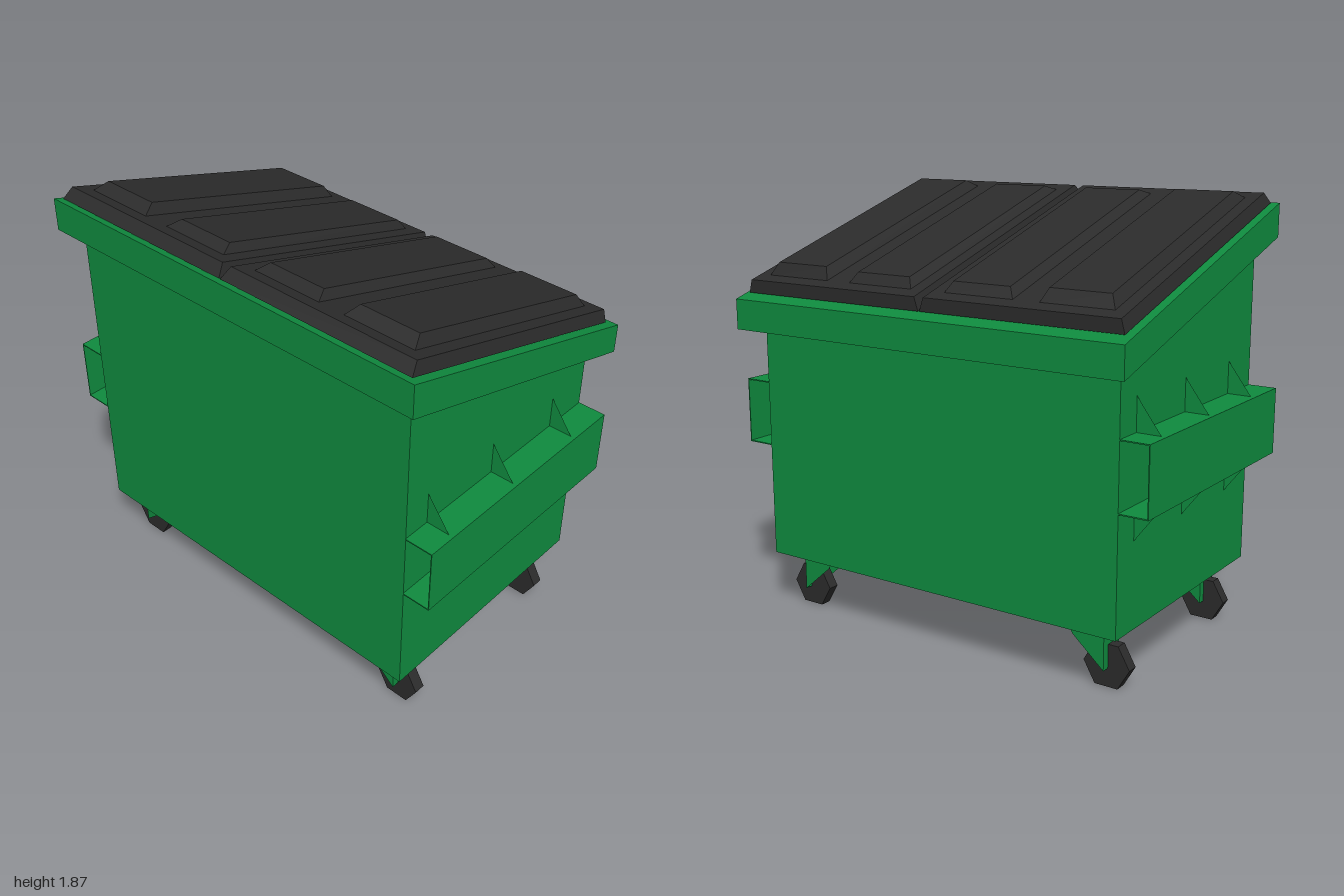
import * as THREE from 'three';

const green = new THREE.MeshStandardMaterial({ color: 0x0f8a3e, flatShading: true, side: THREE.DoubleSide });
const black = new THREE.MeshStandardMaterial({ color: 0x2b2b2b, flatShading: true });

const SLOPE = -0.309;
const rimTop = (x) => 1.6125 + SLOPE * x;

function add(parent, name, geometry, material) {
  const mesh = new THREE.Mesh(geometry, material);
  mesh.name = name;
  parent.add(mesh);
  return mesh;
}

const shapeOf = (points) => new THREE.Shape(points.map(([x, y]) => new THREE.Vector2(x, y)));

// Side profile in x/y pulled along z, centred on z = 0
function prism(points, halfDepth) {
  const g = new THREE.ExtrudeGeometry(shapeOf(points), { depth: halfDepth * 2, bevelEnabled: false });
  return g.translate(0, 0, -halfDepth);
}

// Thin plate drawn in z/y, standing at the given x
function sidePlate(points, x) {
  return new THREE.ShapeGeometry(shapeOf(points)).rotateY(-Math.PI / 2).translate(x, 0, 0);
}

// Bevelled slab following the roof slope; each rectangle is [x0, x1, z0, z1, height above rim]
function slopedSlab(bottom, top) {
  const g = new THREE.BoxGeometry(1, 1, 1);
  const p = g.attributes.position;
  for (let i = 0; i < p.count; i++) {
    const r = p.getY(i) > 0 ? top : bottom;
    const x = p.getX(i) < 0 ? r[0] : r[1];
    const z = p.getZ(i) < 0 ? r[2] : r[3];
    p.setXYZ(i, x, rimTop(x) + r[4], z);
  }
  g.computeVertexNormals();
  return g;
}

// One lid half with two raised panels; side is +1 or -1 along z
function createLid(side) {
  const lid = new THREE.Group();
  lid.name = side > 0 ? 'frontLid' : 'backLid';
  const span = (a, b) => (side > 0 ? [a, b] : [-b, -a]);
  add(lid, 'lidSlab', slopedSlab(
    [-0.63, 0.6, ...span(0.003, 0.915), 0.008],
    [-0.59, 0.6, ...span(0.022, 0.9), 0.064]), black);
  for (const [a, b, h] of [[0.08, 0.405, 0.1], [0.52, 0.845, 0.11]]) {
    add(lid, 'lidPanel', slopedSlab(
      [-0.535, 0.545, ...span(a, b), 0.06],
      [-0.472, 0.516, ...span(a + 0.028, b - 0.03), h]), black);
  }
  return lid;
}

// Open fork sleeve with gussets, built on the +z end about its own centre
function createSleeve() {
  const sleeve = new THREE.Group();
  sleeve.name = 'forkSleeve';
  const length = 1.13, top = 1.038, low = 0.757;
  for (const y of [top, low]) {
    add(sleeve, 'sleeveShelf', new THREE.BoxGeometry(length, 0.005, 0.125).translate(0, y, 0.9375), green);
  }
  add(sleeve, 'sleeveFace', new THREE.BoxGeometry(length, top - low, 0.004)
    .translate(0, (top + low) / 2, 0.998), green);
  for (const x of [-0.44, -0.045, 0.35]) {
    add(sleeve, 'upperGusset', sidePlate([[0.875, top], [0.982, top], [0.875, 1.18]], x), green);
    add(sleeve, 'lowerGusset', sidePlate([[0.875, low], [0.982, low], [0.875, 0.618]], x), green);
  }
  return sleeve;
}

// Six-sided wheel in a U-shaped bracket, built for the +z end
function createCaster() {
  const caster = new THREE.Group();
  caster.name = 'caster';
  const profile = [[0.777, 0.258], [0.6, 0.258], [0.637, 0.2], [0.777, 0.078]];
  for (const x of [-0.06, 0.06]) add(caster, 'bracketSide', sidePlate(profile, x), green);
  add(caster, 'bracketPlate', new THREE.PlaneGeometry(0.12, 0.18).translate(0, 0.168, 0.777), green);
  const wheel = new THREE.CylinderGeometry(0.103, 0.103, 0.05, 6).rotateZ(Math.PI / 2);
  add(caster, 'wheel', wheel.translate(0, 0.0892, 0.77), black);
  return caster;
}

export function createModel() {
  const model = new THREE.Group();
  model.name = 'wheeledWasteContainer';

  // Bin body and the overhanging rim
  add(model, 'body', prism([[-0.577, 0.257], [0.55, 0.257], [0.55, 1.33], [-0.577, 1.67]], 0.875), green);
  add(model, 'rim', prism([[-0.655, 1.672], [0.652, 1.28], [0.652, 1.411], [-0.655, 1.815]], 0.945), green);

  // Each end carries a lid half, a sleeve and two casters
  for (const side of [1, -1]) {
    const turn = side > 0 ? 0 : Math.PI;
    model.add(createLid(side));

    const sleeve = createSleeve();
    sleeve.position.x = -0.014;
    sleeve.rotation.y = turn;
    model.add(sleeve);

    for (const x of [-0.436, 0.406]) {
      const caster = createCaster();
      caster.position.x = x;
      caster.rotation.y = turn;
      model.add(caster);
    }
  }
  return model;
}
